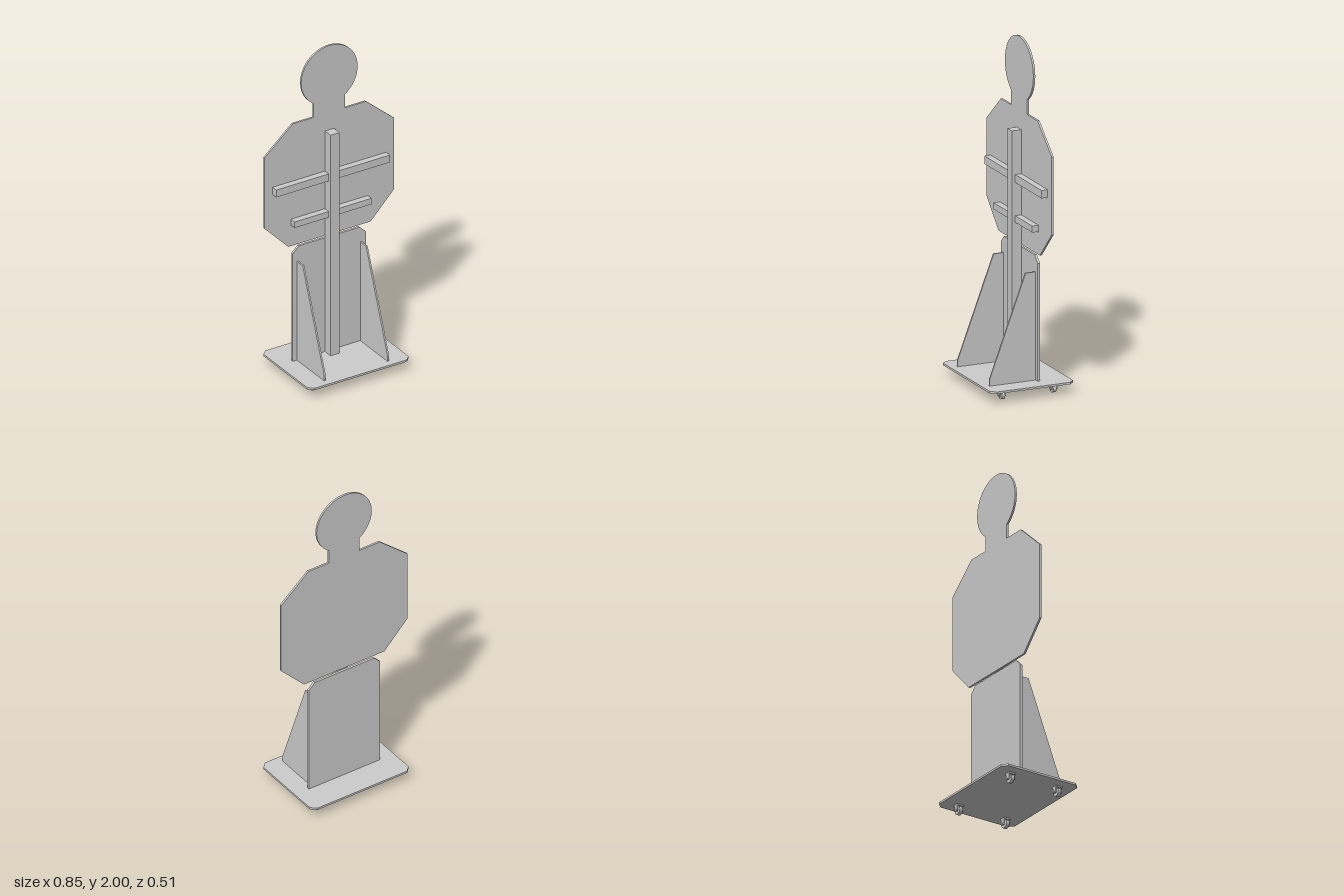
import * as THREE from 'three';

const material = new THREE.MeshStandardMaterial({ color: 0xcccccc, flatShading: true });

export function createModel() {
  const model = new THREE.Group();
  model.name = 'targetStand';

  const add = (name, geometry, x = 0, y = 0, z = 0, parent = model) => {
    const mesh = new THREE.Mesh(geometry, material);
    mesh.name = name;
    mesh.position.set(x, y, z);
    parent.add(mesh);
    return mesh;
  };
  const box = (name, w, h, d, x, y, z, parent) => add(name, new THREE.BoxGeometry(w, h, d), x, y, z, parent);
  const outline = (points) => new THREE.Shape(points.map(([x, y]) => new THREE.Vector2(x, y)));
  const plate = (shape, depth) =>
    new THREE.ExtrudeGeometry(shape, { depth, bevelEnabled: false, curveSegments: 40 });

  // Head and torso silhouette, cut from one sheet
  const headY = 1.815, headR = 0.185, neck = 0.103;
  const neckAngle = Math.acos(neck / headR);
  const half = [[0.27, 0.805], [0.425, 0.965], [0.425, 1.415], [0.24, 1.575], [neck, 1.575]];
  const figure = outline(half);
  figure.absarc(0, headY, headR, -neckAngle, Math.PI + neckAngle, false);
  [...half].reverse().forEach(([x, y]) => figure.lineTo(-x, y));
  figure.closePath();
  add('silhouette', plate(figure, 0.012), 0, 0, -0.08);

  // Lower panel with clipped top corners
  const panel = outline([[-0.24, 0.07], [0.24, 0.07], [0.24, 0.75], [0.2, 0.79], [-0.2, 0.79], [-0.24, 0.75]]);
  add('lowerPanel', plate(panel, 0.014), 0, 0, -0.083);

  // Post and cross bars
  box('post', 0.058, 1.397, 0.058, 0, 0.7685, -0.039);
  box('upperCrossBar', 0.746, 0.046, 0.038, 0, 1.19, -0.049);
  box('lowerCrossBar', 0.504, 0.038, 0.038, 0, 0.956, -0.049);

  // Base plate with clipped corners
  const w = 0.333, d = 0.255, c = 0.03;
  const base = outline([
    [-w + c, -d], [w - c, -d], [w, -d + c], [w, d - c],
    [w - c, d], [-w + c, d], [-w, d - c], [-w, -d + c],
  ]);
  add('basePlate', plate(base, 0.012).rotateX(-Math.PI / 2), 0, 0.058, 0);

  // Tapered side braces, drawn as (-z, y)
  const brace = outline([[-0.213, 0.07], [0.069, 0.07], [0.069, 0.695], [0.008, 0.695], [-0.213, 0.105]]);
  const braceGeometry = plate(brace, 0.01).translate(0, 0, -0.005).rotateY(Math.PI / 2);
  for (const side of [1, -1]) add(side > 0 ? 'leftBrace' : 'rightBrace', braceGeometry, side * 0.208, 0, 0);

  // Four casters, each a wheel on a short axle between fork cheeks
  for (const x of [-0.253, 0.253]) {
    for (const z of [-0.157, 0.157]) {
      const caster = new THREE.Group();
      caster.name = 'caster';
      caster.position.set(x, 0, z);
      model.add(caster);
      add('wheel', new THREE.CylinderGeometry(0.025, 0.025, 0.02, 16).rotateX(Math.PI / 2), 0, 0.025, 0, caster);
      add('axle', new THREE.CylinderGeometry(0.006, 0.006, 0.044, 8).rotateX(Math.PI / 2), 0, 0.025, 0, caster);
      for (const s of [-1, 1]) box('forkCheek', 0.026, 0.034, 0.006, 0, 0.035, s * 0.017, caster);
      box('forkTop', 0.04, 0.008, 0.04, 0, 0.054, 0, caster);
    }
  }
  return model;
}
